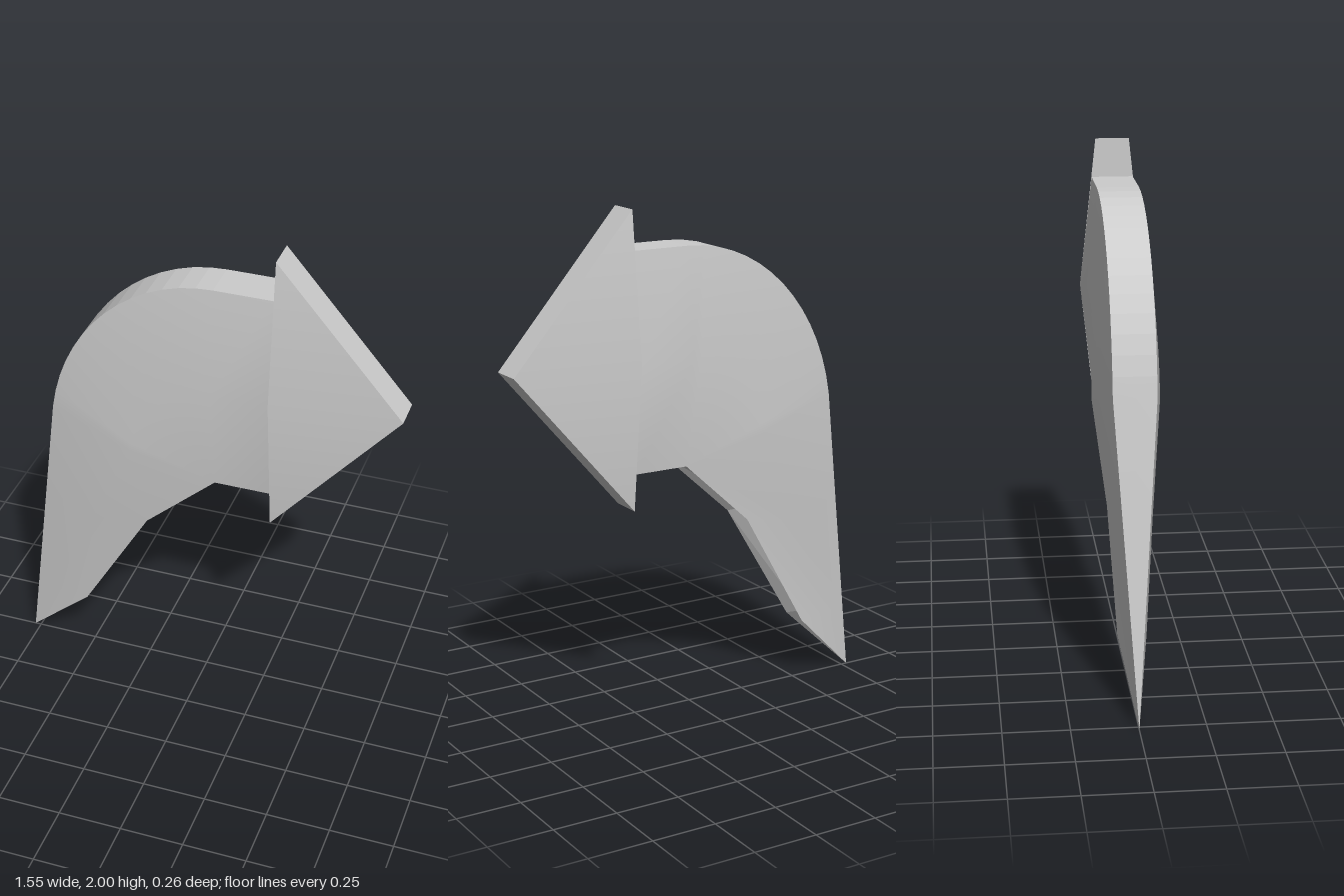
import * as THREE from 'three';
import { toCreasedNormals } from 'three/addons/utils/BufferGeometryUtils.js';

const material = new THREE.MeshStandardMaterial({ color: 0xcccccc });

// Joins closed loops of points, running toward -x; optionally caps the last loop.
function loft(sections, columns, crease, capEnd) {
  const pos = [];
  const tri = (a, b, c) => {
    const area = b.clone().sub(a).cross(c.clone().sub(a)).length();
    if (area > 1e-7) for (const p of [a, b, c]) pos.push(p.x, p.y, p.z);
  };
  const n = sections[0].length;
  for (let i = 0; i < sections.length - 1; i++) {
    for (const j of columns) {
      const k = (j + 1) % n;
      const a = sections[i][j], b = sections[i][k];
      const c = sections[i + 1][k], d = sections[i + 1][j];
      tri(a, d, c);
      tri(a, c, b);
    }
  }
  if (capEnd) {
    const last = sections[sections.length - 1];
    for (let j = 1; j < n - 1; j++) tri(last[0], last[j + 1], last[j]);
  }
  const geo = new THREE.BufferGeometry();
  geo.setAttribute('position', new THREE.Float32BufferAttribute(pos, 3));
  return toCreasedNormals(geo, crease);
}

const v = (p, z) => new THREE.Vector3(p[0], p[1], z);
const mix = (a, b, t) => [a[0] + (b[0] - a[0]) * t, a[1] + (b[1] - a[1]) * t];

// Loop across the shaft: outer edge, ridge, inner edge, groove, then the back half.
function section(outer, zo, mid, zm, inner, zi, groove) {
  return [v(outer, zo), v(mid, zm), v(inner, zi), v(groove, 0),
    v(inner, -zi), v(mid, -zm), v(outer, -zo)];
}

function shaftSections() {
  const pivot = [0.06, 1.0], tip = [-0.775, 0];
  const list = [section([0.28, 1.85], 0.08, [0.28, 1.425], 0.128, [0.28, 1.0], 0.08, [0.28, 1.0])];

  // bend around the inner corner
  const steps = 14, endAngle = 0.17;
  let outer, mid;
  for (let i = 0; i <= steps; i++) {
    const a = Math.PI / 2 + (endAngle - Math.PI / 2) * (i / steps);
    outer = [0.05 - 0.66 * Math.cos(a), 1.08 + 0.77 * Math.sin(a)];
    mid = mix(outer, pivot, 0.5);
    list.push(section(outer, 0.08, mid, 0.128, pivot, 0.08, [0.04, 1.02]));
  }

  // tapering tail with its notched inner side
  const tail = [
    { t: 0.36, inner: [-0.225, 0.74], zi: 0.073, groove: [-0.29, 0.77] },
    { t: 0.76, inner: [-0.505, 0.26], zi: 0.055, groove: [-0.54, 0.28] },
    { t: 1, inner: tip, zi: 0, groove: tip },
  ];
  for (const { t, inner, zi, groove } of tail) {
    list.push(section(mix(outer, tip, t), 0.08 * (1 - t),
      mix(mid, tip, t), 0.128 * (1 - t), inner, zi, groove));
  }
  return list;
}

export function createModel() {
  const group = new THREE.Group();
  const add = (name, geo) => {
    const mesh = new THREE.Mesh(geo, material);
    mesh.name = name;
    group.add(mesh);
  };

  // curved shaft: sides and inner edge, then the faceted outer rim
  const shaft = shaftSections();
  add('shaftSides', loft(shaft, [0, 1, 4, 5], 0.5, false));
  add('shaftInnerEdge', loft(shaft, [2, 3], 0.1, false));
  add('shaftOuterRim', loft(shaft, [6], 0.05, false));

  // arrowhead, from the blunt point back to its flat base
  const point = [0.775, 1.425], top = [0.28, 2], middle = [0.28, 1.425], bottom = [0.28, 0.85];
  const e = 0.065, m = 0.128;
  const nose = [e, e, e, -e, -e, -e].map((z) => v(point, z));
  const base = [v(top, e), v(middle, m), v(bottom, e), v(bottom, -e), v(middle, -m), v(top, -e)];
  add('arrowhead', loft([nose, base], [0, 1, 2, 3, 4, 5], 0.5, true));

  return group;
}
